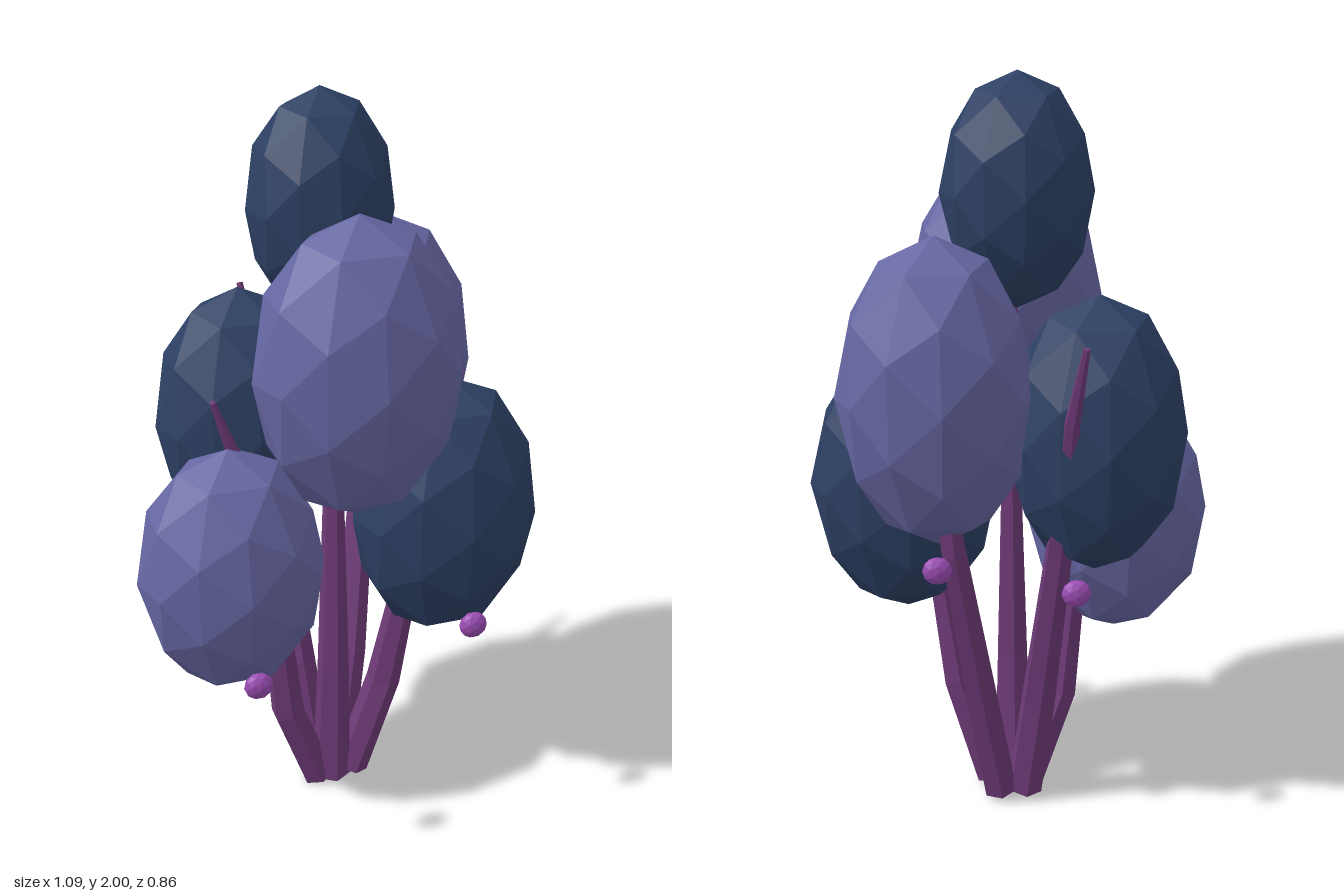
import * as THREE from 'three';

const mat = (name, color) => {
  const m = new THREE.MeshStandardMaterial({ color });
  m.name = name;
  return m;
};

// Faceted ellipsoid
function blob(name, [x, y, z], [rx, ry, rz], material) {
  const g = new THREE.IcosahedronGeometry(1, 1).scale(rx, ry, rz);
  g.computeVertexNormals();
  const mesh = new THREE.Mesh(g, material);
  mesh.name = name;
  mesh.position.set(x, y, z);
  return mesh;
}

// Tapered six-sided limb: each row of a cylinder moves to one [x, y, z, radius] station
function limb(name, stations, material) {
  const n = stations.length - 1;
  const pts = stations.map((s) => new THREE.Vector3(s[0], s[1], s[2]));
  const turns = pts.map((p, i) => {
    const dir = pts[Math.min(n, i + 1)].clone().sub(pts[Math.max(0, i - 1)]).normalize();
    return new THREE.Quaternion().setFromUnitVectors(new THREE.Vector3(0, 1, 0), dir);
  });
  const g = new THREE.CylinderGeometry(1, 1, n, 6, n);
  const pos = g.attributes.position;
  const v = new THREE.Vector3();
  for (let i = 0; i < pos.count; i++) {
    v.fromBufferAttribute(pos, i);
    const row = Math.round(v.y + n / 2);
    v.y = 0;
    v.multiplyScalar(stations[row][3]).applyQuaternion(turns[row]).add(pts[row]);
    pos.setXYZ(i, v.x, v.y, v.z);
  }
  const flat = g.toNonIndexed();
  flat.computeVertexNormals();
  const mesh = new THREE.Mesh(flat, material);
  mesh.name = name;
  return mesh;
}

export function createModel() {
  const group = new THREE.Group();
  group.name = 'tree';
  const navy = mat('navy foliage', 0x2d4064);
  const lavender = mat('lavender foliage', 0x6767a4);
  const bark = mat('plum bark', 0x6f3b78);
  const berry = mat('violet berry', 0x9a4cb2);

  // Foliage crowns
  [
    ['topCrown', [0, 1.71, -0.08], [0.193, 0.29, 0.173], navy],
    ['frontCrown', [0, 1.38, 0.217], [0.267, 0.39, 0.213], lavender],
    ['backLeftCrown', [0.215, 1.235, -0.203], [0.25, 0.395, 0.21], lavender],
    ['backRightCrown', [-0.19, 1.11, -0.19], [0.235, 0.365, 0.2], navy],
    ['leftCrown', [0.285, 0.905, 0.107], [0.257, 0.375, 0.207], navy],
    ['rightCrown', [-0.297, 0.8, 0.08], [0.252, 0.35, 0.207], lavender],
  ].forEach((c) => group.add(blob(...c)));

  // Limbs spreading from one foot, with twig tips poking out of the crowns
  [
    ['centreLimb', [[0, 0.02, 0.015, 0.056], [0, 0.4, 0.03, 0.045], [0.005, 1, 0.015, 0.027], [0, 1.48, -0.015, 0.008]]],
    ['rightLimb', [[-0.04, 0.02, 0.01, 0.05], [-0.135, 0.28, 0.03, 0.048], [-0.17, 0.6, 0.05, 0.038], [-0.275, 1.12, 0.06, 0.02], [-0.33, 1.28, 0.075, 0.008]]],
    ['leftLimb', [[0.06, 0.03, 0.015, 0.05], [0.15, 0.33, 0.035, 0.048], [0.19, 0.6, 0.06, 0.038], [0.25, 1.15, 0.15, 0.02], [0.27, 1.34, 0.22, 0.008]]],
    ['backLeftLimb', [[0.045, 0.03, -0.065, 0.05], [0.1, 0.34, -0.12, 0.048], [0.18, 0.83, -0.245, 0.036], [0.23, 1.3, -0.3, 0.012]]],
    ['backRightLimb', [[-0.025, 0.03, -0.065, 0.05], [-0.055, 0.34, -0.12, 0.048], [-0.09, 0.83, -0.245, 0.036], [-0.1, 1.2, -0.365, 0.02], [-0.122, 1.4, -0.425, 0.009]]],
  ].forEach(([name, stations]) => group.add(limb(name, stations, bark)));

  // Hanging berries
  [
    [-0.305, 0.615, 0.352],
    [0.273, 0.685, 0.36],
    [0.225, 0.8, -0.285],
    [-0.12, 0.745, -0.34],
  ].forEach((p, i) => group.add(blob('berry' + (i + 1), p, [0.038, 0.037, 0.024], berry)));

  return group;
}
